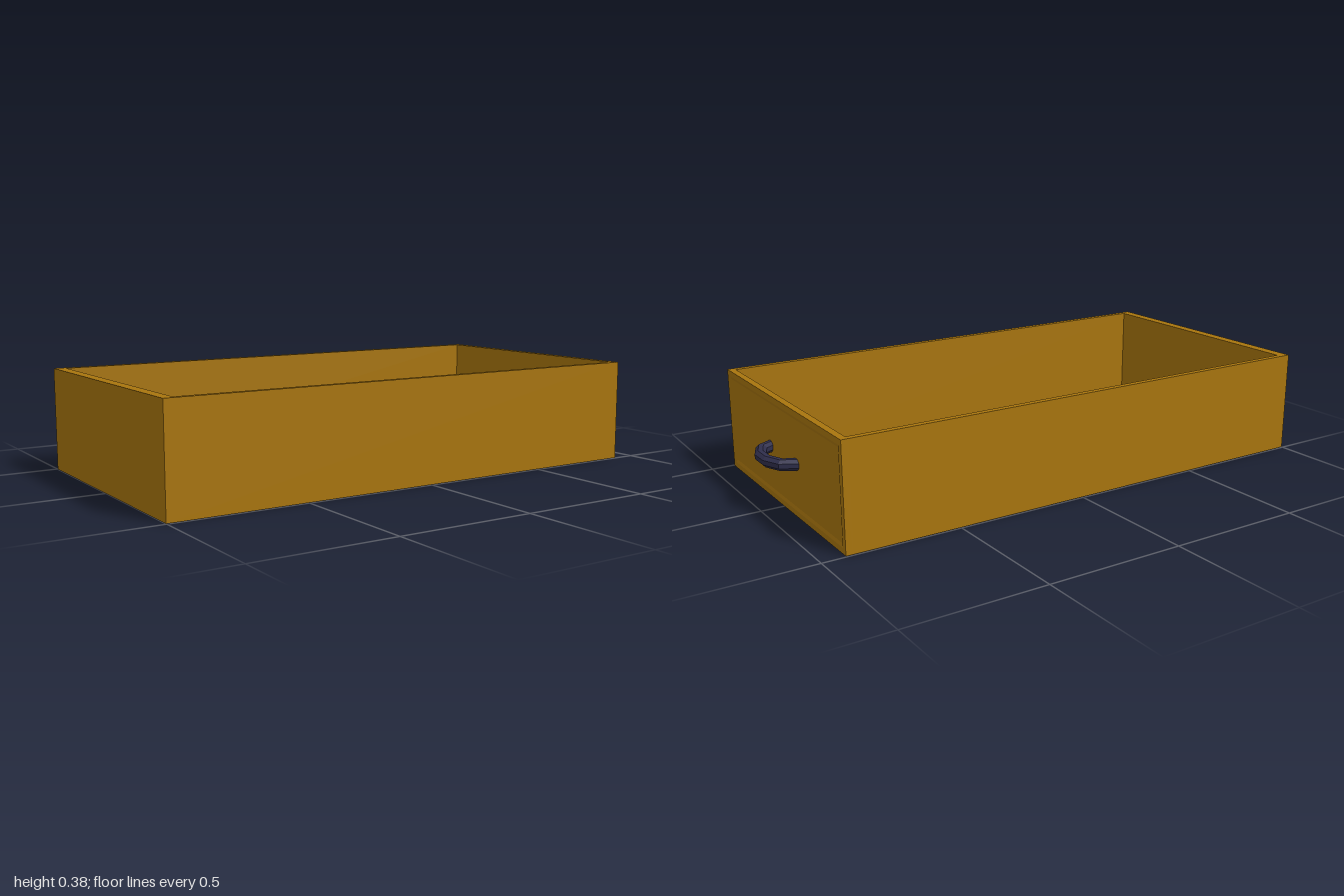
import * as THREE from 'three';

const wood = new THREE.MeshStandardMaterial({ color: 0xa8750e, flatShading: true });
wood.name = 'wood';
const iron = new THREE.MeshStandardMaterial({ color: 0x302f4c, flatShading: true });
iron.name = 'dark iron';

const X0 = -1, X1 = 0.915, Z = 0.495, H = 0.38;
const BACK = 0.04, FRONT = 0.025, SIDE = 0.022;

// Board spanning the given limits
function board(name, x0, x1, y0, y1, z0, z1) {
  const mesh = new THREE.Mesh(new THREE.BoxGeometry(x1 - x0, y1 - y0, z1 - z0), wood);
  mesh.position.set((x0 + x1) / 2, (y0 + y1) / 2, (z0 + z1) / 2);
  mesh.name = name;
  return mesh;
}

// Rectangular loops stacked along x and closed at both ends
function loftRectangles(loops) {
  const pos = [], index = [];
  for (const [x, inset] of loops) {
    const z = Z - inset, y0 = inset, y1 = H - inset;
    pos.push(x, y0, -z, x, y1, -z, x, y1, z, x, y0, z);
  }
  for (let i = 0; i < loops.length - 1; i++) {
    for (let k = 0; k < 4; k++) {
      const a = i * 4 + k, b = i * 4 + (k + 1) % 4;
      index.push(a, b, b + 4, a, b + 4, a + 4);
    }
  }
  const e = (loops.length - 1) * 4;
  index.push(0, 2, 1, 0, 3, 2, e, e + 1, e + 2, e, e + 2, e + 3);
  const geometry = new THREE.BufferGeometry();
  geometry.setAttribute('position', new THREE.Float32BufferAttribute(pos, 3));
  geometry.setIndex(index);
  const flat = geometry.toNonIndexed();
  flat.computeVertexNormals();
  return flat;
}

// Bowed centre line of the pull
class PullCurve extends THREE.Curve {
  getPoint(t, target = new THREE.Vector3()) {
    const a = (t - 0.5) * Math.PI;
    return target.set(0.9 + 0.083 * Math.cos(a), 0.19, -0.01 - 0.12 * Math.sin(a));
  }
}

export function createModel() {
  const group = new THREE.Group();
  group.name = 'drawer';

  // Side and back walls
  for (const s of [1, -1]) {
    const z = [s * Z, s * (Z - SIDE)].sort((a, b) => a - b);
    group.add(board(s > 0 ? 'frontSideWall' : 'backSideWall', X0, X1 - FRONT, 0, H, z[0], z[1]));
  }
  group.add(board('endWall', X0, X0 + BACK, 0, H, -Z + SIDE, Z - SIDE));

  // Handle panel with a shallow sunken field
  const panel = new THREE.Mesh(
    loftRectangles([[X1 - FRONT, 0], [X1, 0], [X1, 0.021], [X1 - 0.004, 0.032]]), wood);
  panel.name = 'handlePanel';
  group.add(panel);

  // Thin floor raised slightly above the wall bottoms
  group.add(board('floor', X0 + BACK, X1 - FRONT, 0.013, 0.018, -Z + SIDE, Z - SIDE));

  // Bowed pull with an eight-sided section
  const section = new THREE.Shape();
  for (let i = 0; i < 8; i++) {
    const a = (i + 0.5) * Math.PI / 4;
    section[i ? 'lineTo' : 'moveTo'](0.0215 * Math.cos(a), 0.0215 * Math.sin(a));
  }
  section.closePath();
  const pull = new THREE.Mesh(
    new THREE.ExtrudeGeometry(section, { steps: 5, extrudePath: new PullCurve(), bevelEnabled: false }), iron);
  pull.name = 'handle';
  group.add(pull);

  return group;
}
